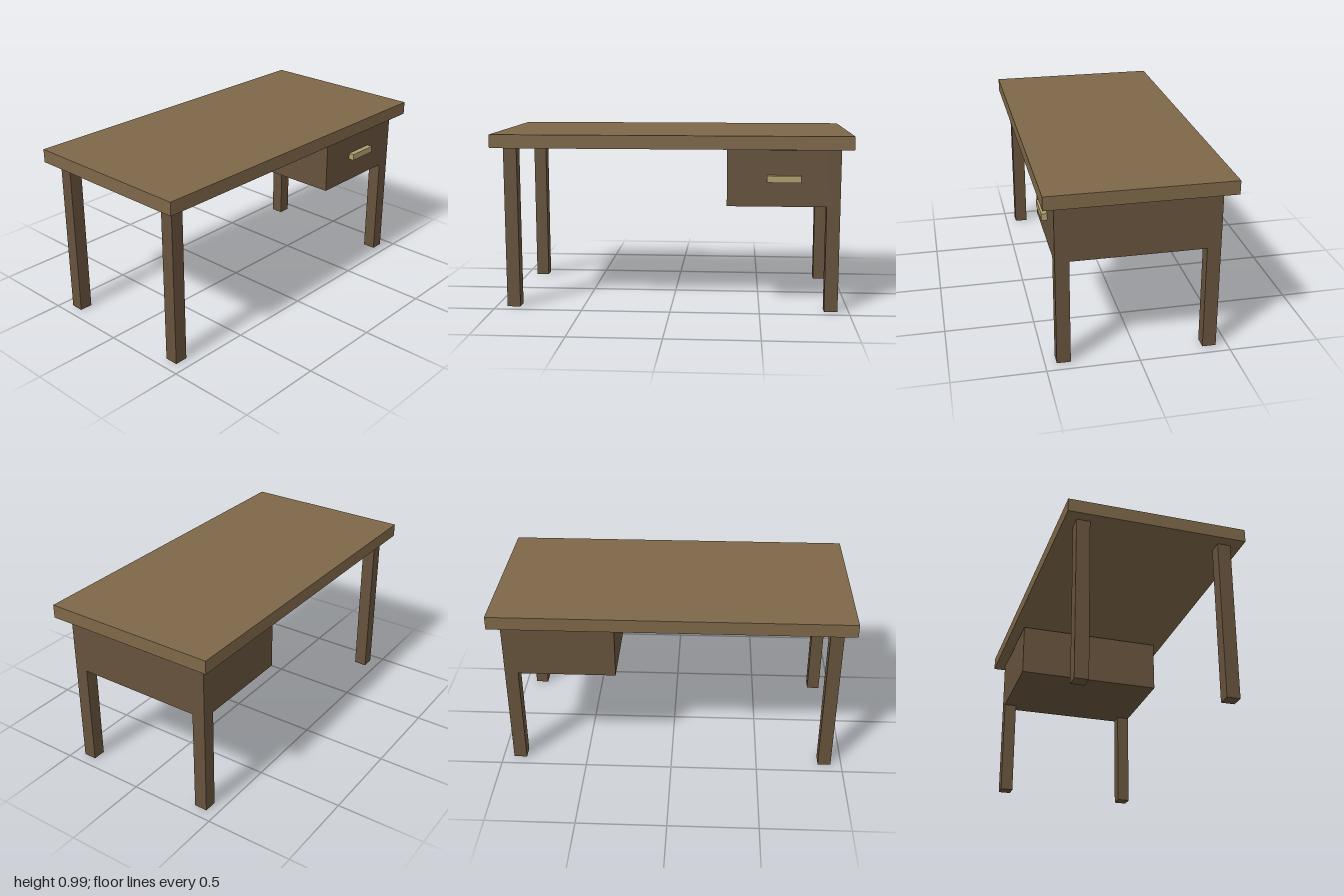
import * as THREE from 'three';

export function createModel() {
  const desk = new THREE.Group();
  desk.name = 'desk';

  const topWood = new THREE.MeshStandardMaterial({ color: 0x7d6748 });
  const darkWood = new THREE.MeshStandardMaterial({ color: 0x66523c });
  const brass = new THREE.MeshStandardMaterial({ color: 0xb0a070 });

  // Adds a box given its size and centre
  function addBox(name, material, size, centre) {
    const mesh = new THREE.Mesh(new THREE.BoxGeometry(...size), material);
    mesh.name = name;
    mesh.position.set(...centre);
    desk.add(mesh);
  }

  // Desk top
  addBox('deskTop', topWood, [2, 0.075, 1], [0, 0.9525, 0]);

  // Four square legs
  for (const [side, x] of [['Left', 0.9], ['Right', -0.9]]) {
    for (const [end, z] of [['front', 0.4], ['back', -0.4]]) {
      addBox(`${end}${side}Leg`, darkWood, [0.075, 0.915, 0.075], [x, 0.4575, z]);
    }
  }

  // Drawer case, hung just below the top and flush with the legs
  addBox('drawerCase', darkWood, [0.625, 0.3125, 0.875], [0.625, 0.7515, 0]);

  // Drawer handle
  addBox('drawerHandle', brass, [0.1875, 0.0375, 0.0375], [0.625, 0.7515, 0.45]);

  return desk;
}
